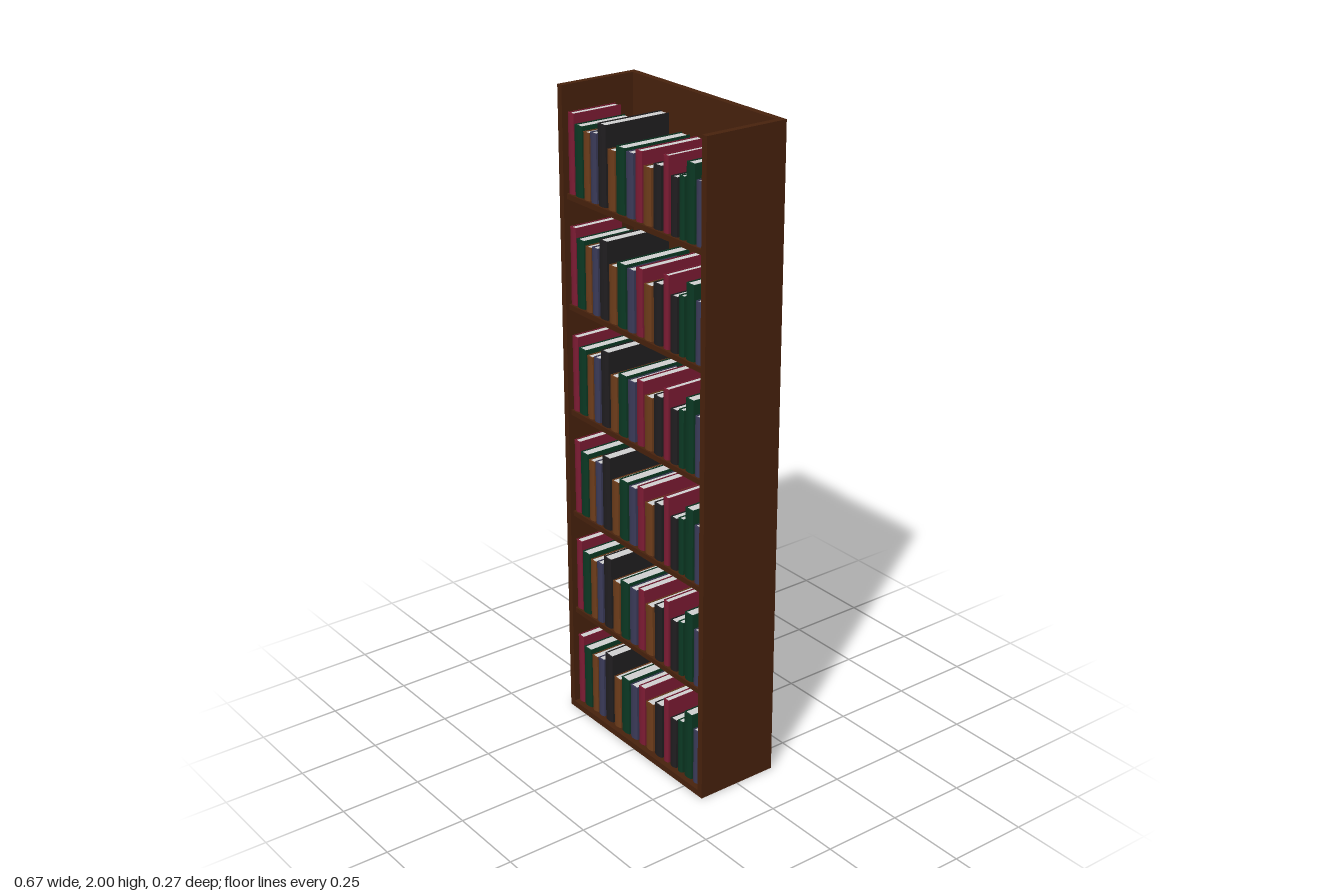
import * as THREE from 'three';

const flat = (name, color) => {
  const m = new THREE.MeshStandardMaterial({ color });
  m.name = name;
  return m;
};

export function createModel() {
  const wood = flat('dark wood', 0x48220d);
  const paper = flat('paper', 0xd0d0d0);
  const covers = {
    red: flat('red cover', 0x7c1b33),
    green: flat('green cover', 0x0b3823),
    brown: flat('brown cover', 0x6d3c1a),
    blue: flat('blue cover', 0x3a3a58),
    black: flat('black cover', 0x201e20),
  };
  const group = new THREE.Group();
  group.name = 'bookcase';

  // Box given by its lower and upper limits on each axis
  const box = (name, mat, [x0, x1], [y0, y1], [z0, z1], parent = group) => {
    const mesh = new THREE.Mesh(new THREE.BoxGeometry(x1 - x0, y1 - y0, z1 - z0), mat);
    mesh.position.set((x0 + x1) / 2, (y0 + y1) / 2, (z0 + z1) / 2);
    mesh.name = name;
    parent.add(mesh);
  };

  // Case: open at the front and the top
  const W = 0.333, D = 0.133, T = 0.02;
  box('leftSide', wood, [W - T, W], [0, 2], [-D, D]);
  box('rightSide', wood, [-W, -W + T], [0, 2], [-D, D]);
  box('backPanel', wood, [-W + T, W - T], [0, 2], [-D, -D + T]);
  box('bottomShelf', wood, [-W + T, W - T], [0, T], [-D + T, D]);

  // Books of one row: x from, x to, back z, height, colour
  const row = [
    [-0.313, -0.286, -0.05, 0.235, 'red'],
    [-0.282, -0.247, -0.06, 0.207, 'green'],
    [-0.240, -0.213, -0.05, 0.196, 'brown'],
    [-0.207, -0.180, -0.048, 0.202, 'blue'],
    [-0.171, -0.135, -0.106, 0.235, 'black'],
    [-0.126, -0.094, -0.105, 0.172, 'brown'],
    [-0.087, -0.049, -0.113, 0.190, 'green'],
    [-0.041, -0.009, -0.06, 0.185, 'blue'],
    [0.001, 0.030, -0.10, 0.200, 'red'],
    [0.037, 0.071, -0.104, 0.163, 'brown'],
    [0.081, 0.115, -0.055, 0.180, 'black'],
    [0.125, 0.147, -0.076, 0.215, 'red'],
    [0.157, 0.185, -0.112, 0.165, 'black'],
    [0.194, 0.216, -0.074, 0.175, 'green'],
    [0.225, 0.259, -0.113, 0.220, 'green'],
    [0.267, 0.291, -0.083, 0.180, 'blue'],
    [0.298, 0.325, -0.096, 0.235, 'black'],
  ];

  // U-shaped cover with a gently rounded spine, extruded upwards
  const SPINE = 0.113, THICK = 0.002;
  const coverGeometry = (x0, x1, back, height) => {
    const mid = (x0 + x1) / 2;
    const s = new THREE.Shape();
    s.moveTo(x0, -back);
    s.lineTo(x0, -SPINE);
    s.quadraticCurveTo(mid, -SPINE - 0.008, x1, -SPINE);
    s.lineTo(x1, -back);
    s.lineTo(x1 - THICK, -back);
    s.lineTo(x1 - THICK, -SPINE + THICK);
    s.lineTo(x0 + THICK, -SPINE + THICK);
    s.lineTo(x0 + THICK, -back);
    s.closePath();
    const g = new THREE.ExtrudeGeometry(s, { depth: height, bevelEnabled: false, curveSegments: 5 });
    return g.rotateX(-Math.PI / 2);
  };

  const books = row.map(([x0, x1, back, height, color]) => ({
    x0, x1, back, height, mat: covers[color], geo: coverGeometry(x0, x1, back, height),
  }));

  // Six shelves, each holding the same row of books
  for (let i = 0; i < 6; i++) {
    const y = 0.02 + i / 3;
    if (i > 0) box('shelf', wood, [-W + T, W - T], [y - 0.016, y], [-D + T, 0.122]);
    const shelfBooks = new THREE.Group();
    shelfBooks.name = 'bookRow';
    shelfBooks.position.y = y;
    for (const b of books) {
      const cover = new THREE.Mesh(b.geo, b.mat);
      cover.name = 'bookCover';
      shelfBooks.add(cover);
      box('bookPages', paper, [b.x0 + THICK, b.x1 - THICK], [0.002, b.height - 0.003],
        [b.back + 0.002, SPINE - THICK], shelfBooks);
    }
    group.add(shelfBooks);
  }
  return group;
}
